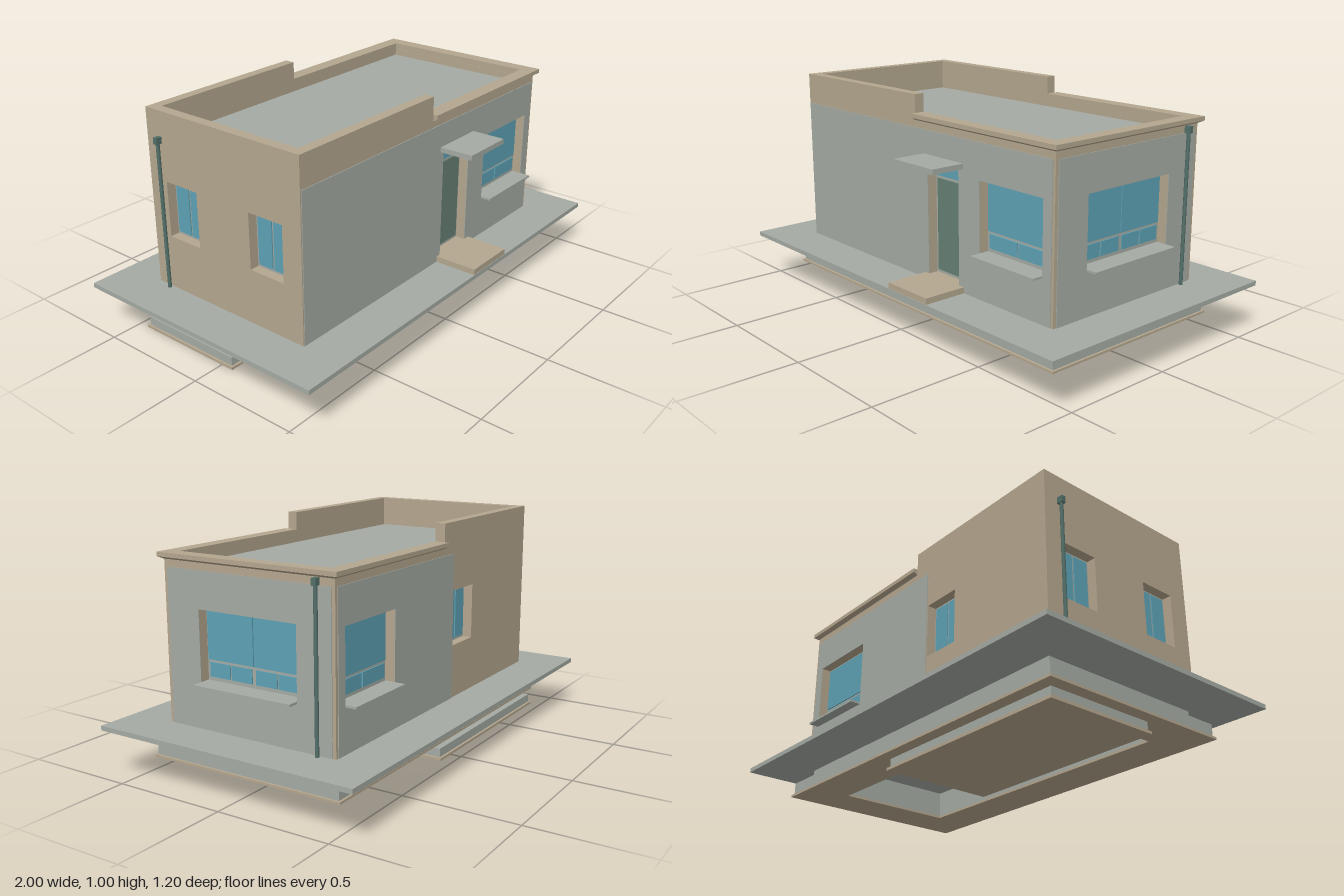
import * as THREE from 'three';

const mat = (name, color, extra = {}) => {
  const m = new THREE.MeshStandardMaterial({ color, ...extra });
  m.name = name;
  return m;
};

export function createModel() {
  const grey = mat('concrete grey', 0xa5aba4);
  const tan = mat('sand render', 0xb5a78f);
  const glass = mat('window blue', 0x5ea2b5);
  const green = mat('door green', 0x667f73);
  const dark = mat('pipe green', 0x54706a);

  const house = new THREE.Group();
  house.name = 'house';

  const add = (parent, name, geo, material) => {
    const m = new THREE.Mesh(geo, material);
    m.name = name;
    parent.add(m);
    return m;
  };
  // Box given by its limits on each axis
  const box = (parent, name, material, x0, x1, y0, y1, z0, z1) => {
    const g = new THREE.BoxGeometry(x1 - x0, y1 - y0, z1 - z0);
    g.translate((x0 + x1) / 2, (y0 + y1) / 2, (z0 + z1) / 2);
    return add(parent, name, g, material);
  };
  const poly = (pts) => new THREE.Shape(pts.map((p) => new THREE.Vector2(...p)));
  const rect = (x0, x1, y0, y1) => [[x0, y0], [x1, y0], [x1, y1], [x0, y1]];
  // Upright plate with rectangular openings, from depth z0 to z1
  const plate = (pts, openings, z0, z1) => {
    const s = poly(pts);
    for (const o of openings) s.holes.push(poly(rect(...o)));
    return new THREE.ExtrudeGeometry(s, { depth: z1 - z0, bevelEnabled: false }).translate(0, 0, z0);
  };
  // Plan outline raised from y0 to y1
  const raised = (shape, y0, y1) =>
    new THREE.ExtrudeGeometry(shape, { depth: y1 - y0, bevelEnabled: false }).rotateX(-Math.PI / 2).translate(0, y0, 0);

  const T = 0.045; // wall thickness
  const BASE = 0.225, EAVE = 0.89, BAND = 0.86;

  // Foundation: hollow stepped ring
  const ring = (name, material, x, z, y0, y1) => {
    const s = poly(rect(-x, x, -z, z));
    s.holes.push(poly(rect(-0.67, 0.67, -0.265, 0.265)));
    add(house, name, raised(s, y0, y1), material);
  };
  ring('foundationStem', grey, 0.785, 0.385, 0.145, 0.205);
  ring('foundationFooting', grey, 0.848, 0.442, 0.09, 0.145);
  ring('footingBed', tan, 0.857, 0.452, 0.08, 0.09);

  // Cellar block under the back right part
  box(house, 'cellarWall', grey, -0.785, 0.085, 0.05, 0.205, -0.385, 0.05);
  box(house, 'cellarFooting', grey, -0.848, 0.085, 0.012, 0.05, -0.442, 0.05);
  box(house, 'cellarBed', tan, -0.857, 0.095, 0, 0.012, -0.452, 0.06);

  // Ground slab
  box(house, 'slab', grey, -1, 1, 0.205, BASE, -0.6, 0.6);

  // Wall group: local x runs along the wall, local z = 0 is the outer face
  const wall = (name, turn, distance, outline, openings, facing) => {
    const g = new THREE.Group();
    g.name = name;
    g.rotation.y = turn;
    g.position.set(Math.sin(turn) * distance, 0, Math.cos(turn) * distance);
    house.add(g);
    add(g, 'wallBody', plate(outline, openings, -T, 0), tan);
    if (facing) {
      const [a, b] = facing;
      const inside = openings.filter((o) => o[0] > a && o[1] < b);
      add(g, 'wallFacing', plate(rect(a, b, BASE, BAND), inside, 0, 0.003), grey);
    }
    return g;
  };
  // Frame board set back in an opening, with thin panes on its face
  const glaze = (g, opening, panes) => {
    const [a, b, c, d] = opening;
    box(g, 'frame', grey, a, b, c, d, -T - 0.015, -T + 0.003);
    for (const [p, q, r, s, m = glass] of panes)
      box(g, m === glass ? 'pane' : 'doorLeaf', m, p, q, r, s, -T, -T + 0.008);
  };
  const sill = (g, a, b) => box(g, 'sill', grey, a, b, 0.408, 0.417, -T, 0.05);

  // Large window: tall lights above, pairs of short ones below
  const bigWindow = (g, o, bays) => {
    const w = (o[1] - o[0] - 0.008) / bays;
    const panes = [];
    for (let i = 0; i < bays; i++) {
      const a = o[0] + 0.004 + i * w, mid = a + w / 2, e = a + w;
      panes.push([a + 0.002, e - 0.002, 0.503, 0.702]);
      panes.push([a + 0.01, mid - 0.004, 0.433, 0.492], [mid + 0.004, e - 0.01, 0.433, 0.492]);
    }
    glaze(g, o, panes);
    sill(g, o[0], o[1]);
  };
  // Small window with two upright lights
  const smallWindow = (g, o) => {
    const mid = (o[0] + o[1]) / 2;
    glaze(g, o, [
      [o[0] + 0.01, mid - 0.005, o[2] + 0.012, o[3] - 0.01],
      [mid + 0.005, o[1] - 0.01, o[2] + 0.012, o[3] - 0.01],
    ]);
  };

  // Long walls step down from parapet to cornice at the middle
  const stepped = (s) => [
    [-0.805 * s, BASE], [0.805 * s, BASE], [0.805 * s, EAVE], [0, EAVE], [0, 0.995], [-0.805 * s, 0.995],
  ];

  // Front wall with door and window
  const door = [0.08, 0.275, 0.25, 0.738];
  const frontWin = [0.4, 0.748, 0.412, 0.71];
  const front = wall('frontWall', 0, 0.402, stepped(1), [door, frontWin], [-0.8, 0.792]);
  bigWindow(front, frontWin, 1);
  glaze(front, door, [[0.09, 0.266, 0.67, 0.73], [0.094, 0.264, 0.264, 0.658, green]]);
  box(front, 'canopy', grey, 0.058, 0.305, 0.738, 0.76, 0, 0.155);
  box(front, 'doorStep', tan, 0.058, 0.305, BASE, 0.251, 0, 0.196);

  // Back wall
  const backWin = [-0.748, -0.4, 0.412, 0.71];
  const backSmall = [0.085, 0.265, 0.46, 0.7];
  const back = wall('backWall', Math.PI, 0.402, stepped(-1), [backWin, backSmall], [-0.792, 0.08]);
  bigWindow(back, backWin, 1);
  smallWindow(back, backSmall);

  // Left wall with wide window
  const wide = [-0.232, 0.232, 0.412, 0.708];
  const left = wall('leftWall', Math.PI / 2, 0.805, rect(-0.358, 0.358, BASE, EAVE), [wide], null);
  add(left, 'wallFacing', plate(rect(-0.387, 0.387, BASE, BAND), [wide], 0, 0.003), grey);
  bigWindow(left, wide, 2);

  // Right wall with two small windows
  const pair = [[-0.31, -0.14, 0.46, 0.7], [0.14, 0.31, 0.46, 0.7]];
  const right = wall('rightWall', -Math.PI / 2, 0.805, rect(-0.358, 0.358, BASE, 0.995), pair, null);
  pair.forEach((o) => smallWindow(right, o));

  // Flat roof inside the parapet
  box(house, 'roof', grey, -0.765, 0.765, 0.84, 0.86, -0.36, 0.36);

  // Cornice around the left half, tapered underneath
  const rim = poly([
    [0, -0.422], [0.825, -0.422], [0.825, 0.422], [0, 0.422],
    [0, 0.357], [0.762, 0.357], [0.762, -0.357], [0, -0.357],
  ]);
  add(house, 'cornice', raised(rim, 0.9, 0.918), tan);
  const under = raised(rim, EAVE, 0.9);
  const p = under.attributes.position;
  for (let i = 0; i < p.count; i++) {
    if (p.getY(i) > 0.895) continue;
    if (p.getX(i) > 0.8) p.setX(i, 0.806);
    if (Math.abs(p.getZ(i)) > 0.4) p.setZ(i, Math.sign(p.getZ(i)) * 0.403);
  }
  under.computeVertexNormals();
  add(house, 'corniceUnderside', under, tan);

  // Drainpipes with hopper heads on both end walls
  for (const s of [-1, 1]) {
    const pipe = new THREE.CylinderGeometry(0.008, 0.008, 0.64, 12).translate(s * 0.82, BASE + 0.32, -0.328);
    add(house, 'drainpipe', pipe, dark);
    const head = new THREE.BoxGeometry(0.026, 0.028, 0.02).translate(s * 0.82, 0.875, -0.328);
    add(house, 'pipeHead', head, dark);
  }
  return house;
}
